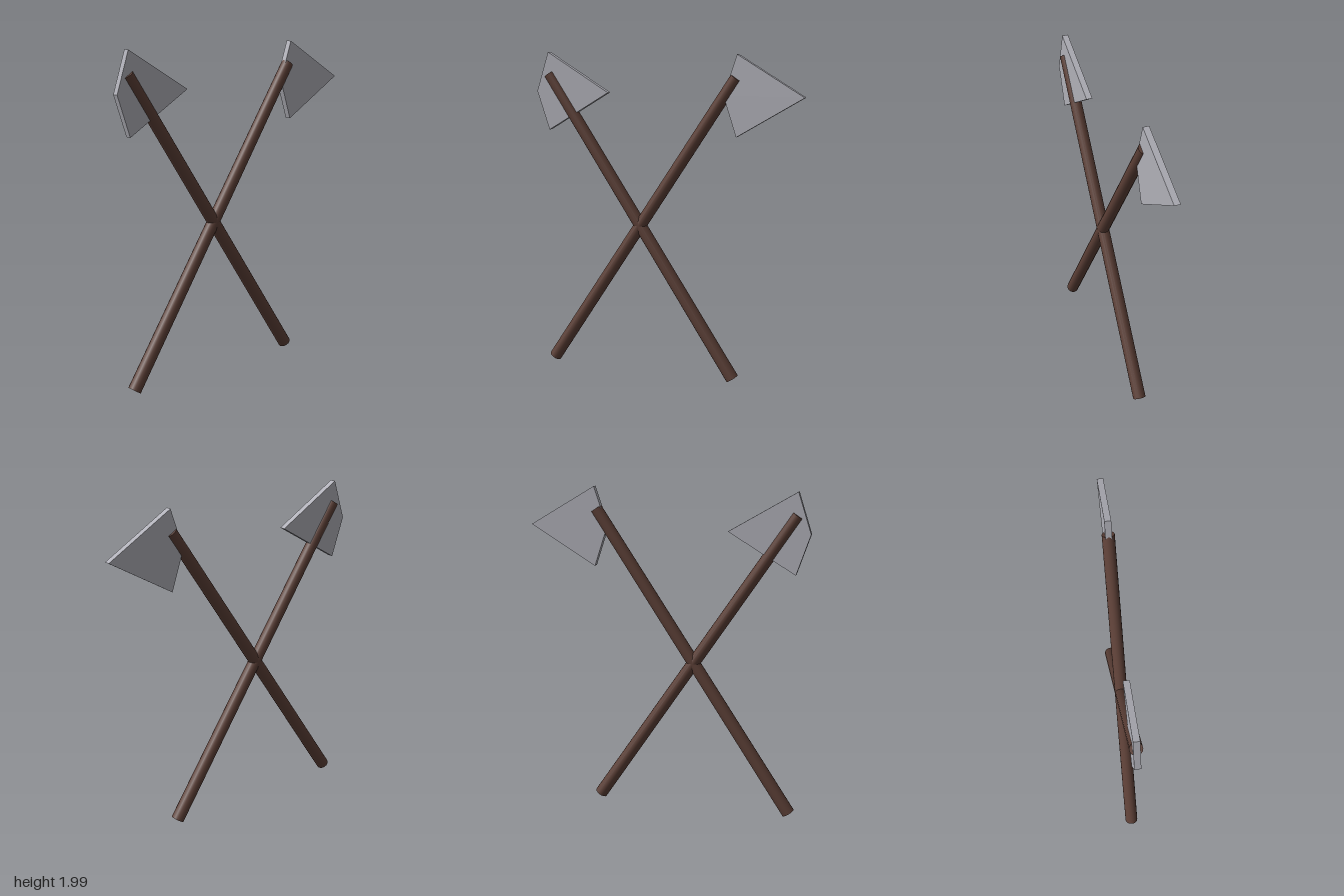
import * as THREE from 'three';

export function createModel() {
  const group = new THREE.Group();
  group.name = 'crossedAxes';
  const wood = new THREE.MeshStandardMaterial({ color: 0x5d4037 });
  const steel = new THREE.MeshStandardMaterial({ color: 0xb0b0b8, flatShading: true });

  const left = -0.775, right = 0.44, bottom = 0.03, top = 1.865;
  const up = new THREE.Vector3(0, 1, 0);

  // Straight, slightly tapered shaft from its foot to its head
  function addHandle(name, footX, headX) {
    const foot = new THREE.Vector3(footX, bottom, 0);
    const head = new THREE.Vector3(headX, top, 0);
    const axis = head.clone().sub(foot);
    const handle = new THREE.Mesh(new THREE.CylinderGeometry(0.036, 0.04, axis.length(), 16), wood);
    handle.position.copy(foot).add(head).multiplyScalar(0.5);
    handle.quaternion.setFromUnitVectors(up, axis.normalize());
    handle.name = name;
    group.add(handle);
  }

  // Flat kite-shaped blade: long point towards +x, blunt point at the back
  const thickness = 0.037;
  const outline = new THREE.Shape([
    new THREE.Vector2(-0.08, 0),
    new THREE.Vector2(0, -0.24),
    new THREE.Vector2(0.404, 0),
    new THREE.Vector2(0, 0.24),
  ]);
  const bladeGeometry = new THREE.ExtrudeGeometry(outline, { depth: thickness, bevelEnabled: false });
  bladeGeometry.translate(0, 0, -thickness / 2);

  function addBlade(name, x) {
    const blade = new THREE.Mesh(bladeGeometry, steel);
    blade.position.set(x, 1.76, 0);
    blade.name = name;
    group.add(blade);
  }

  addHandle('handleLeaningLeft', left, right);
  addHandle('handleLeaningRight', right, left);
  addBlade('bladeLeft', 0.449);
  addBlade('bladeRight', -0.775);
  return group;
}
